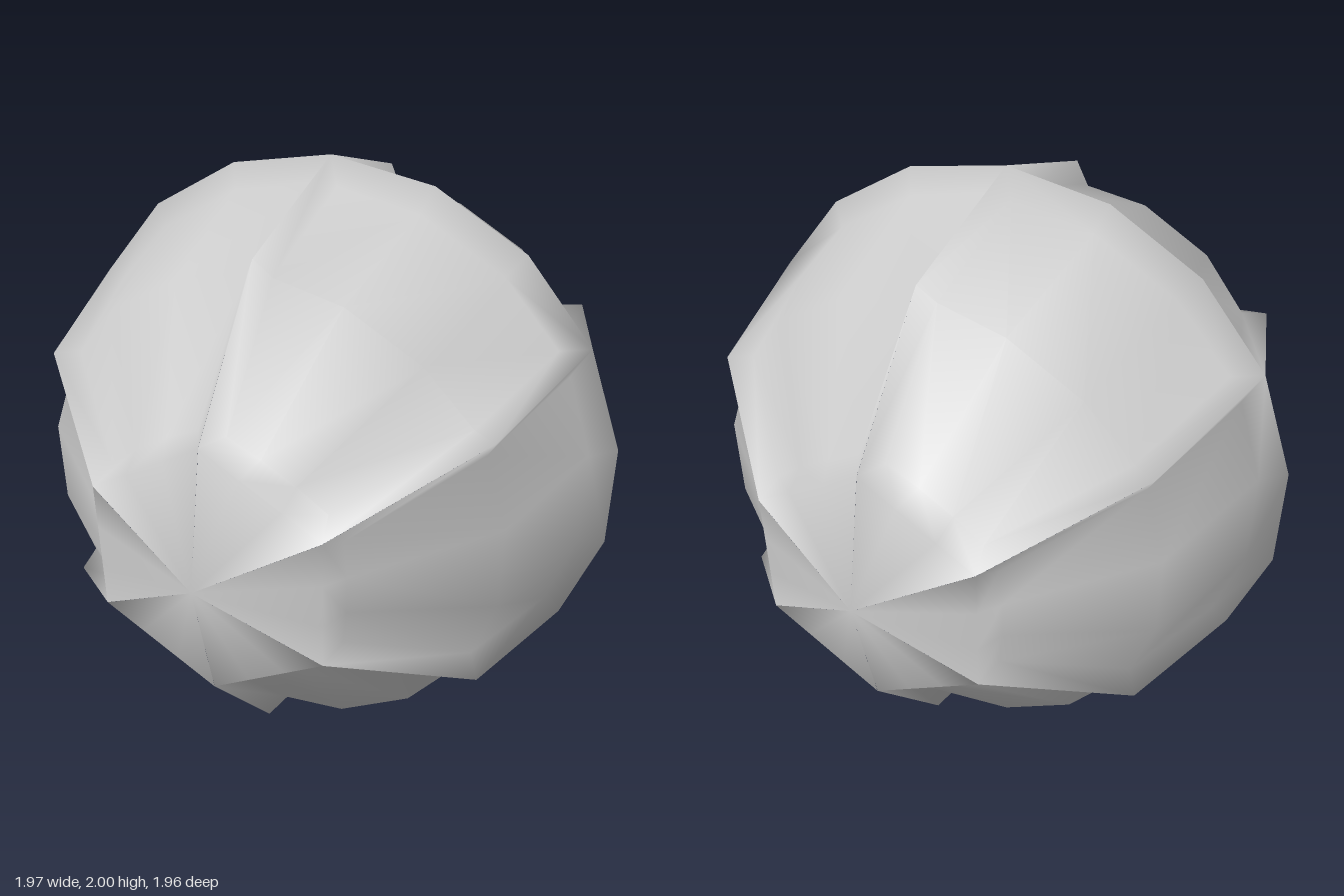
import * as THREE from 'three';
import { mergeVertices } from 'three/addons/utils/BufferGeometryUtils.js';

// Half rows of a panel: [outward, sideways, forward]; mirrored sideways into four columns
const row = (edge, mid) => [
  [edge[0], -edge[1], edge[2]], [mid[0], -mid[1], mid[2]], mid, edge,
];
const onArc = (r, deg, z) => {
  const a = THREE.MathUtils.degToRad(deg);
  return [r * Math.cos(a), r * Math.sin(a), z];
};

// Raised rim of a panel: equator, middle, cap edge
const outer = [
  row(onArc(1, 30, 0), onArc(1, 10, 0)),
  row(onArc(0.84, 30, 0.54), onArc(0.84, 10, 0.54)),
  row([0.364, 0.21, 0.89], [0.364, 0.07, 0.89]),
];
// Sunken floor of the panel
const inner = [
  row(onArc(0.92, 27.3, 0.05), onArc(0.92, 10, 0.05)),
  row(onArc(0.778, 27, 0.5), onArc(0.78, 10, 0.52)),
  row([0.392, 0.175, 0.81], [0.405, 0.06, 0.815]),
];
const apex = [0, 0, 0.98];

// Boundary of a 3 x 4 grid, anticlockwise
const loop = (g) => [...g[0], g[1][3], ...[...g[2]].reverse(), g[1][0]];

function panelTriangles() {
  const tris = [];
  const quad = (a, b, c, d) => tris.push([a, b, c], [a, c, d]);
  // steep bevel between rim and floor
  const o = loop(outer), n = loop(inner);
  for (let i = 0; i < o.length; i++) {
    const j = (i + 1) % o.length;
    quad(o[i], o[j], n[j], n[i]);
  }
  // floor
  for (let r = 0; r < 2; r++) {
    for (let c = 0; c < 3; c++) {
      quad(inner[r][c], inner[r][c + 1], inner[r + 1][c + 1], inner[r + 1][c]);
    }
  }
  // this panel's share of the hexagonal cap
  for (let c = 0; c < 3; c++) tris.push([apex, outer[2][c], outer[2][c + 1]]);
  return tris;
}

export function createModel() {
  const group = new THREE.Group();
  group.name = 'panelledBall';

  // Six panels around the axis, repeated on the front and back halves
  const positions = [];
  const tris = panelTriangles();
  for (const side of [1, -1]) {
    for (let k = 0; k < 6; k++) {
      const cos = Math.cos(k * Math.PI / 3), sin = Math.sin(k * Math.PI / 3);
      for (const t of tris) {
        const ordered = side > 0 ? t : [t[0], t[2], t[1]];
        for (const [x, y, z] of ordered) {
          positions.push(x * cos - y * sin, x * sin + y * cos + 1, z * side);
        }
      }
    }
  }

  // Weld the panels so the ridges shade smoothly
  let geometry = new THREE.BufferGeometry();
  geometry.setAttribute('position', new THREE.Float32BufferAttribute(positions, 3));
  geometry = mergeVertices(geometry, 1e-4);
  geometry.computeVertexNormals();

  const shell = new THREE.Mesh(geometry, new THREE.MeshStandardMaterial({ color: 0xcccccc }));
  shell.name = 'ridgedShell';
  group.add(shell);
  return group;
}
